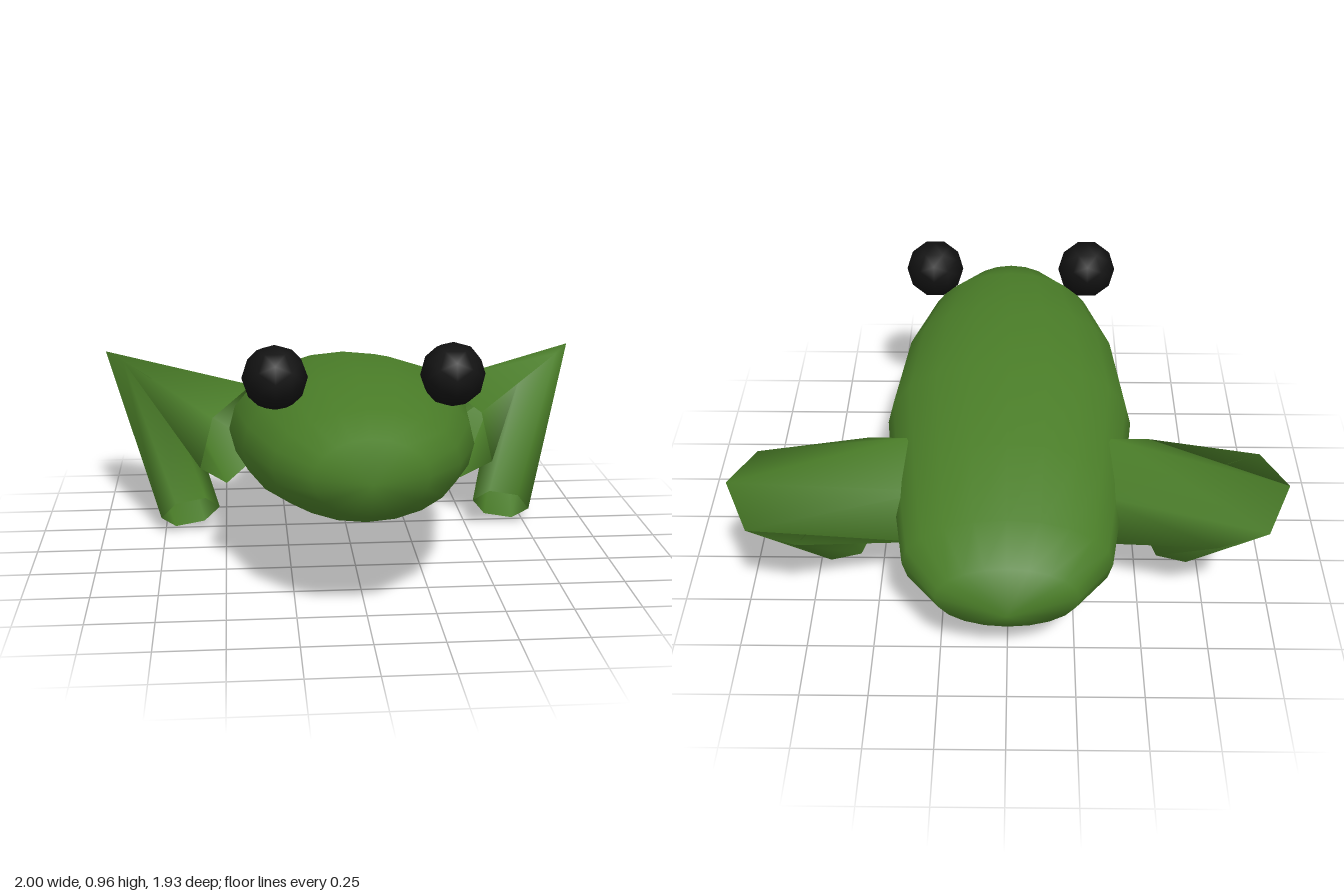
import * as THREE from 'three';
import { mergeVertices } from 'three/addons/utils/BufferGeometryUtils.js';

const V = (x, y, z) => new THREE.Vector3(x, y, z);

// Smooth skin over closed rings; each ring runs clockwise about the path direction
function loft(rings) {
  const n = rings[0].length;
  const index = [];
  for (let i = 1; i < rings.length; i++) {
    for (let j = 0; j < n; j++) {
      const k = (j + 1) % n;
      const a = (i - 1) * n + j, b = i * n + j, c = i * n + k, d = (i - 1) * n + k;
      index.push(a, b, d, b, c, d);
    }
  }
  let geo = new THREE.BufferGeometry().setFromPoints(rings.flat());
  geo.setIndex(index);
  geo = mergeVertices(geo, 1e-4);
  geo.computeVertexNormals();
  return geo;
}

// Hexagon from its centre and two neighbouring spokes
function hexagon(c, a, b) {
  const d = b.clone().sub(a);
  return [a, b, d, a.clone().negate(), b.clone().negate(), d.clone().negate()].map((v) => v.clone().add(c));
}

export function createModel() {
  const group = new THREE.Group();
  const skin = new THREE.MeshStandardMaterial({ color: 0x4a7d28, side: THREE.DoubleSide });
  skin.name = 'skin green';
  const black = new THREE.MeshStandardMaterial({ color: 0x101010 });
  black.name = 'eye black';

  const add = (name, geo, mat) => {
    const mesh = new THREE.Mesh(geo, mat);
    mesh.name = name;
    group.add(mesh);
    return mesh;
  };

  // Body: upright oval sections from nose to rump [z, half width, top, bottom]
  const sections = [
    [0.965, 0, 0.56, 0.56],
    [0.885, 0.2, 0.7, 0.42],
    [0.72, 0.33, 0.757, 0.347],
    [0.4, 0.43, 0.799, 0.264],
    [0, 0.478, 0.792, 0.202],
    [-0.42, 0.428, 0.706, 0.175],
    [-0.715, 0.382, 0.592, 0.186],
    [-0.875, 0.257, 0.508, 0.232],
    [-0.967, 0, 0.367, 0.367],
  ];
  const sides = 20;
  const bodyRings = sections.map(([z, w, top, bottom]) =>
    Array.from({ length: sides }, (_, j) => {
      const t = (j / sides) * Math.PI * 2;
      return V(Math.cos(t) * w, (top + bottom) / 2 + (Math.sin(t) * (top - bottom)) / 2, z);
    }));
  add('body', loft(bodyRings), skin);

  // Hind legs: open six-sided tube through hip, knee and foot
  const legRings = [
    hexagon(V(0.44, 0.39, -0.29), V(0.105, 0.12, 0.17), V(0.16, -0.1, 0.135)),
    hexagon(V(0.835, 0.58, -0.58), V(0.08, 0.1, 0.145), V(-0.085, 0, 0.185)),
    hexagon(V(0.645, 0.095, -0.175), V(0.055, 0.065, 0.08), V(-0.065, 0.09, 0.09)),
  ];
  for (const [side, s] of [['left', 1], ['right', -1]]) {
    const rings = legRings.map((ring) => {
      const r = ring.map((p) => V(p.x * s, p.y, p.z));
      return s > 0 ? r.reverse() : r;
    });
    add(side + 'HindLeg', loft(rings), skin);

    // Eyes: faceted balls above the head
    add(side + 'Eye', new THREE.IcosahedronGeometry(0.116, 1), black).position.set(0.313 * s, 0.848, 0.605);
  }
  return group;
}
